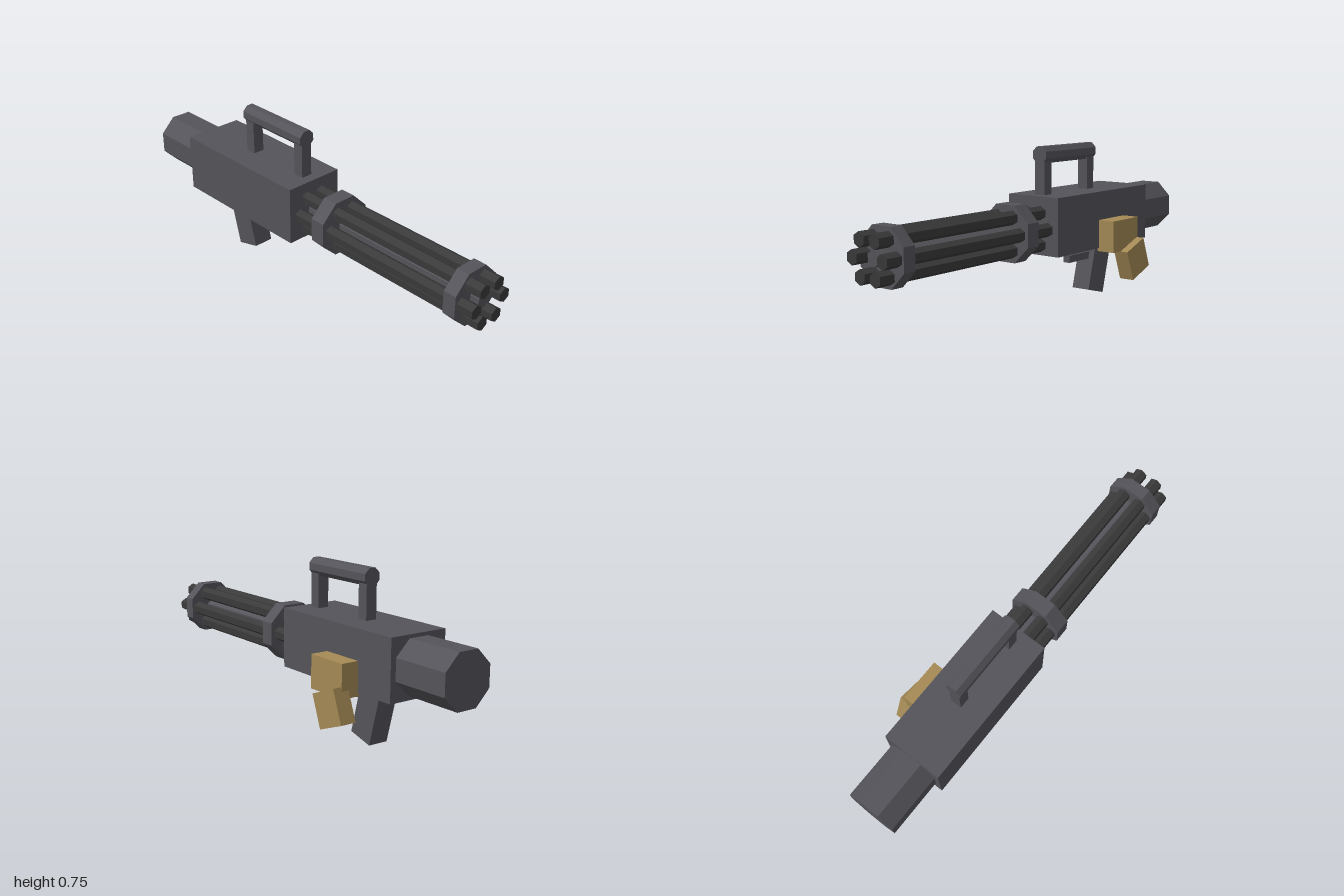
import * as THREE from 'three';

const CX = -0.062; // shared centre line of the gun
const AXIS_Y = 0.381; // spin axis of the barrels

export function createModel() {
  const group = new THREE.Group();
  const material = (color) => new THREE.MeshStandardMaterial({ color, flatShading: true });
  const metal = material(0x55545a);
  const darkMetal = material(0x3a3a3b);
  const brass = material(0xa58a55);

  function add(name, geometry, mat, x, y, z, tilt = 0) {
    const mesh = new THREE.Mesh(geometry, mat);
    mesh.name = name;
    mesh.position.set(x, y, z);
    mesh.rotation.x = tilt;
    group.add(mesh);
    return mesh;
  }

  const box = (name, mat, [w, h, d], [x, y, z], tilt) =>
    add(name, new THREE.BoxGeometry(w, h, d), mat, x, y, z, tilt);

  // Prism lying along z from z0 to z1; octagons are turned to sit flat side up
  function prism(name, mat, sides, radius, x, y, z0, z1) {
    const geometry = new THREE.CylinderGeometry(radius, radius, z1 - z0, sides);
    if (sides === 8) geometry.rotateY(Math.PI / 8);
    geometry.rotateX(Math.PI / 2);
    return add(name, geometry, mat, x, y, (z0 + z1) / 2);
  }

  // Body and rear motor
  box('body', metal, [0.287, 0.27, 0.726], [CX, 0.395, -0.363]);
  prism('motor', metal, 8, 0.127, CX, 0.397, -1, -0.72);

  // Ring of six barrels around a central shaft
  for (let i = 0; i < 6; i++) {
    const a = (i * Math.PI) / 3;
    prism('barrel', darkMetal, 6, 0.032,
      CX + 0.085 * Math.cos(a), AXIS_Y + 0.085 * Math.sin(a), -0.02, 1);
  }
  prism('shaft', metal, 6, 0.036, CX, AXIS_Y, -0.02, 0.967);

  // Clamps holding the barrels
  prism('rearClamp', metal, 8, 0.139, CX, AXIS_Y, 0.123, 0.196);
  prism('frontClamp', metal, 8, 0.132, CX, AXIS_Y, 0.865, 0.925);

  // Carrying handle
  prism('carryHandle', metal, 8, 0.0417, CX, 0.713, -0.435, -0.046);
  for (const z of [-0.074, -0.406]) {
    box('handlePost', metal, [0.054, 0.18, 0.052], [CX, 0.6, z]);
  }

  // Pistol grip and trigger
  box('grip', metal, [0.097, 0.32, 0.125], [CX, 0.174, -0.471], -0.26);
  box('trigger', metal, [0.036, 0.035, 0.185], [CX, 0.2, -0.347]);

  // Ammunition box and its hanging feed
  box('ammoBox', brass, [0.09, 0.15, 0.207], [0.12, 0.32, -0.422]);
  box('ammoFeed', brass, [0.075, 0.152, 0.149], [0.166, 0.199, -0.476], 0.36);

  return group;
}
